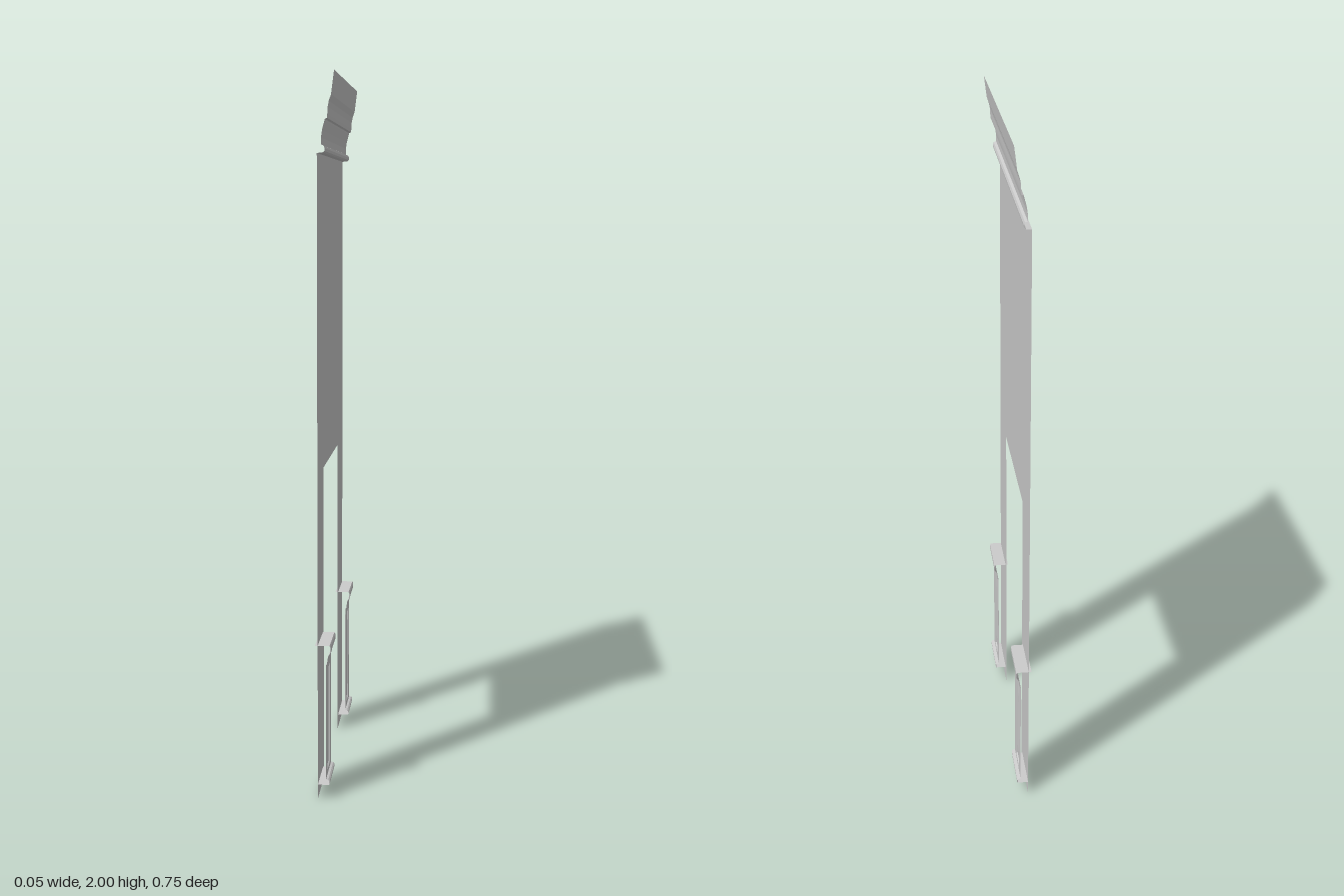
import * as THREE from 'three';

const material = new THREE.MeshStandardMaterial({ color: 0xcccccc, side: THREE.DoubleSide, flatShading: true });

function sheet(name, positions) {
  const geometry = new THREE.BufferGeometry();
  geometry.setAttribute('position', new THREE.Float32BufferAttribute(positions, 3));
  geometry.computeVertexNormals();
  const mesh = new THREE.Mesh(geometry, material);
  mesh.name = name;
  return mesh;
}

const quad = (a, b, c, d) => [a, b, c, a, c, d].flat();

// Sweeps an open (x, y) profile along z
function moulding(name, profile, z0, z1) {
  const out = [];
  for (let i = 0; i < profile.length - 1; i++) {
    const [p, q] = [profile[i], profile[i + 1]];
    out.push(...quad([...p, z0], [...q, z0], [...q, z1], [...p, z1]));
  }
  return sheet(name, out);
}

// Joins nested rectangles, each [half width, bottom, top, x], into a stepped panel
function steppedPanel(name, rings, zc) {
  const loops = rings.map(([w, y0, y1, x]) =>
    [[x, y0, zc + w], [x, y0, zc - w], [x, y1, zc - w], [x, y1, zc + w]]);
  const out = [];
  for (let k = 0; k < loops.length - 1; k++) {
    for (let i = 0; i < 4; i++) {
      const j = (i + 1) % 4;
      out.push(...quad(loops[k][i], loops[k][j], loops[k + 1][j], loops[k + 1][i]));
    }
  }
  out.push(...quad(...loops[loops.length - 1]));
  return sheet(name, out);
}

export function createModel() {
  const group = new THREE.Group();
  group.name = 'wallPanel';
  const half = 0.373;

  // Flat wall with a tall opening between two legs
  const outline = [[-half, 0], [-0.21, 0], [-0.21, 0.915], [0.21, 0.915],
    [0.21, 0], [half, 0], [half, 1.785], [-half, 1.785]];
  const shape = new THREE.Shape(outline.map(([x, y]) => new THREE.Vector2(x, y)));
  const wall = new THREE.Mesh(new THREE.ShapeGeometry(shape), material);
  wall.geometry.rotateY(Math.PI / 2).translate(-0.02, 0, 0);
  wall.name = 'wall';
  group.add(wall);

  // Crowning cornice
  group.add(moulding('cornice', [
    [-0.02, 1.785], [-0.005, 1.786], [0, 1.79], [0.001, 1.797], [-0.002, 1.804], [-0.009, 1.807],
    [-0.009, 1.825], [-0.006, 1.845], [0, 1.868], [0.001, 1.873], [0.007, 1.876], [0.008, 1.887],
    [0.009, 1.905], [0.012, 1.92], [0.018, 1.937], [0.019, 1.945], [0.026, 2],
  ], -half, half));

  // Panelled pedestal on each leg
  for (const side of [1, -1]) {
    const pedestal = new THREE.Group();
    pedestal.name = side > 0 ? 'leftPedestal' : 'rightPedestal';
    const zs = [side * 0.231, side * half].sort((a, b) => a - b);
    pedestal.add(
      steppedPanel('raisedPanel', [
        [0.071, 0.055, 0.387, 0.003], [0.036, 0.07, 0.362, 0.003],
        [0.035, 0.073, 0.359, -0.001], [0.012, 0.12, 0.318, 0.002],
      ], side * 0.302),
      moulding('pedestalCap', [
        [0.003, 0.387], [0.006, 0.39], [0.007, 0.4], [0.009, 0.412], [0.014, 0.42],
        [0.016, 0.424], [0.016, 0.437], [0.013, 0.442], [-0.028, 0.442],
      ], ...zs),
      moulding('pedestalBase', [
        [-0.02, 0.041], [0.01, 0.041], [0.013, 0.044], [0.013, 0.051], [0.009, 0.055], [0.003, 0.057],
      ], ...zs));
    group.add(pedestal);
  }
  return group;
}
